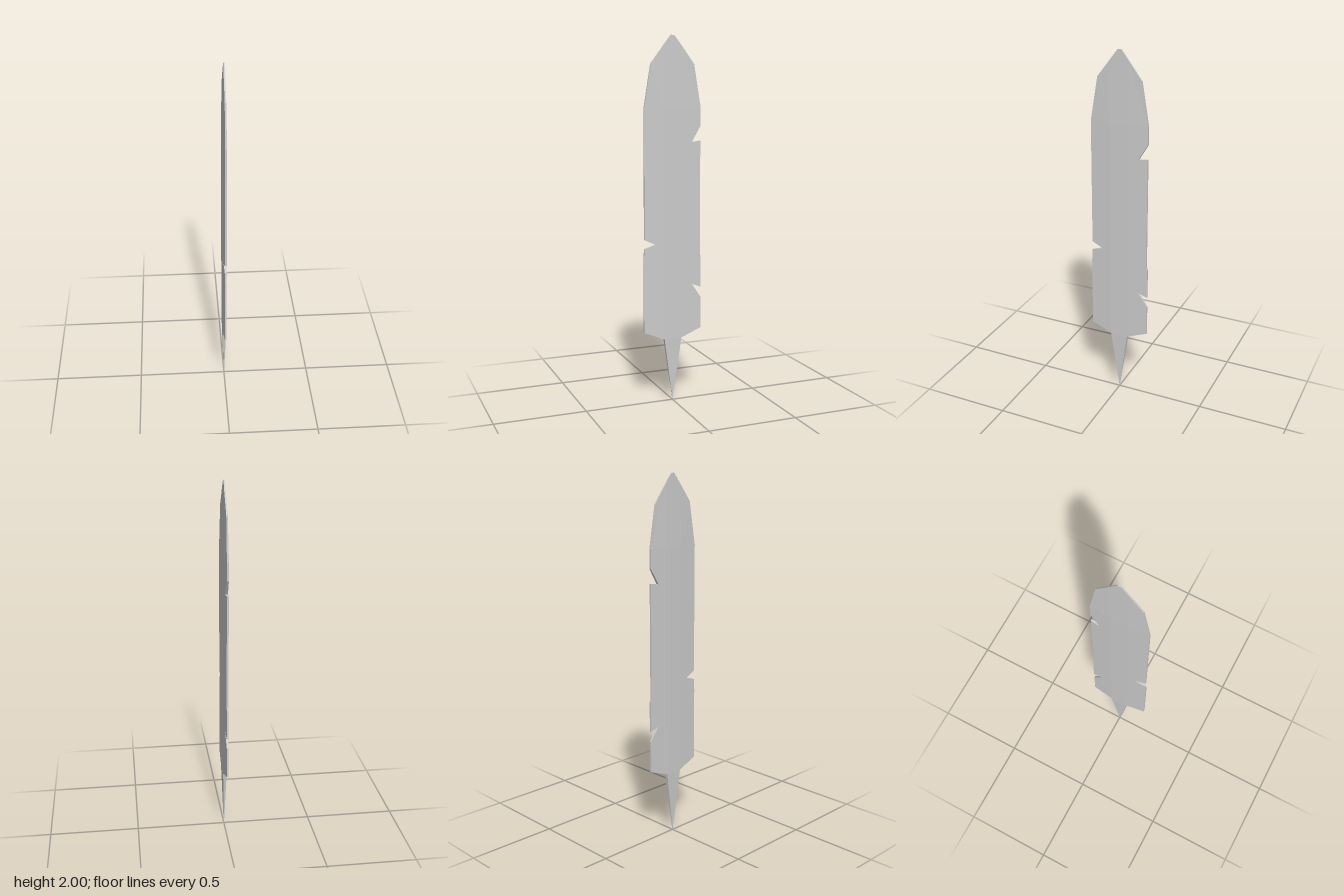
import * as THREE from 'three';

const CORE = 0.05;     // half width of the thick central rib
const EDGE = 0.165;    // half width at the vane edge

// Half thickness: full over the rib, thinner at the edges and at both ends
function halfThickness(z, y) {
  const across = THREE.MathUtils.mapLinear(Math.max(Math.abs(z), CORE), CORE, EDGE, 0.01, 0.005);
  const low = THREE.MathUtils.lerp(0.1, 1, Math.min(y / 0.355, 1));
  const high = THREE.MathUtils.lerp(1, 0.3, Math.max((y - 1.62) / 0.38, 0));
  return across * low * high;
}

// Extrudes an outline of [z, y] points along x and gives it the lens profile
function panel(name, outline, material) {
  const shape = new THREE.Shape(outline.map(([z, y]) => new THREE.Vector2(z, y)));
  let geo = new THREE.ExtrudeGeometry(shape, { depth: 1, bevelEnabled: false });
  geo.translate(0, 0, -0.5).rotateY(-Math.PI / 2);
  const p = geo.attributes.position;
  for (let i = 0; i < p.count; i++) {
    p.setX(i, Math.sign(p.getX(i)) * halfThickness(p.getZ(i), p.getY(i)));
  }
  geo.computeVertexNormals();
  const mesh = new THREE.Mesh(geo, material);
  mesh.name = name;
  return mesh;
}

export function createModel() {
  const group = new THREE.Group();
  group.name = 'feather';
  const grey = new THREE.MeshStandardMaterial({ color: 0xcccccc, flatShading: true });
  const add = (name, outline) => group.add(panel(name, outline, grey));

  // Pointed quill and central rib
  add('quill', [[0, 0], [CORE, 0.355], [-CORE, 0.355]]);
  add('rib', [[-CORE, 0.355], [CORE, 0.355], [CORE, 1.62], [-CORE, 1.62]]);
  add('ribTip', [[-CORE, 1.62], [CORE, 1.62], [CORE, 1.948], [0.01, 2], [-0.01, 2], [-CORE, 1.948]]);

  // Front vane with one notch
  add('frontVane', [
    [CORE, 0.355], [0.167, 0.4], [0.167, 0.8], [0.163, 0.865],
    [0.1, 0.885], [0.163, 0.915], [0.163, 1.62], [CORE, 1.62],
  ]);

  // Back vane with two notches
  add('backVane', [
    [-CORE, 0.355], [-0.167, 0.4], [-0.167, 0.575], [-0.113, 0.653], [-0.167, 0.632],
    [-0.167, 0.8], [-0.161, 0.82], [-0.161, 1.442], [-0.11, 1.435], [-0.161, 1.52],
    [-0.161, 1.62], [-CORE, 1.62],
  ]);

  // Tapering vane tips on both sides
  for (const s of [1, -1]) {
    add(s > 0 ? 'frontVaneTip' : 'backVaneTip',
      [[s * CORE, 1.62], [s * 0.162, 1.62], [s * 0.124, 1.85], [s * CORE, 1.948]]);
  }
  return group;
}
